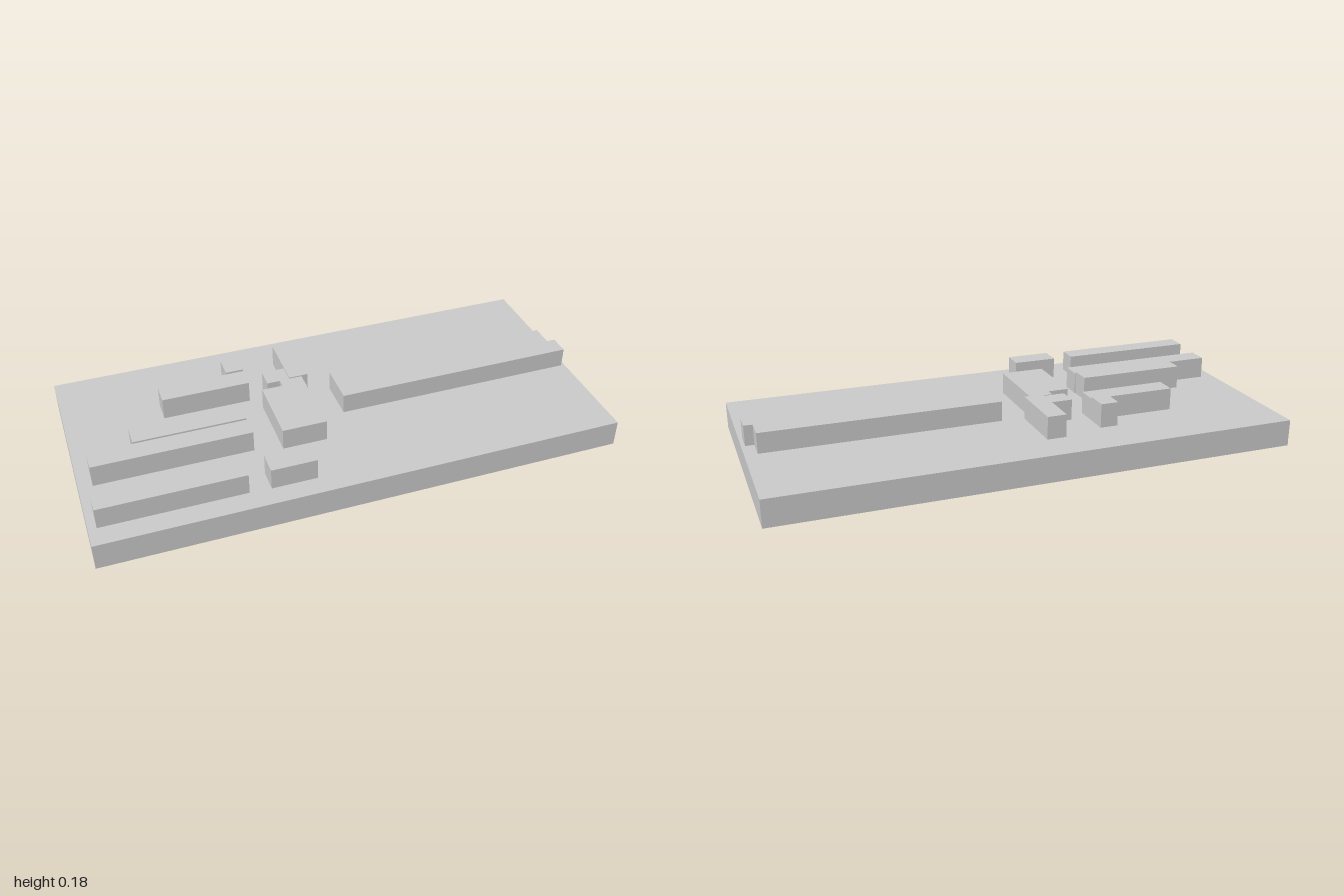
import * as THREE from 'three';

export function createModel() {
  const model = new THREE.Group();
  model.name = 'sitePlan';
  const material = new THREE.MeshStandardMaterial({ color: 0xcccccc, flatShading: true });
  const BASE_TOP = 0.094;

  // Everything is laid out square, then the whole plan is turned
  const plan = new THREE.Group();
  plan.name = 'turnedPlan';
  plan.rotation.y = Math.atan2(0.955, 1.545);
  model.add(plan);

  const slab = new THREE.Mesh(new THREE.BoxGeometry(1.816, BASE_TOP, 0.864), material);
  slab.name = 'baseSlab';
  slab.position.y = BASE_TOP / 2;
  plan.add(slab);

  // Prism standing on the slab, from a footprint of [x, z] points
  function block(name, top, points) {
    const shape = new THREE.Shape(points.map(([x, z]) => new THREE.Vector2(x, -z)));
    const geometry = new THREE.ExtrudeGeometry(shape, { depth: top - BASE_TOP, bevelEnabled: false });
    geometry.rotateX(-Math.PI / 2);
    const mesh = new THREE.Mesh(geometry, material);
    mesh.name = name;
    mesh.position.y = BASE_TOP;
    plan.add(mesh);
  }
  const rect = (x0, x1, z0, z1) => [[x0, z0], [x0, z1], [x1, z1], [x1, z0]];

  // Long hall with a stepped end
  block('longHall', 0.165, [
    [0.031, -0.088], [0.031, 0.062], [0.895, 0.062], [0.895, -0.008], [0.865, -0.008], [0.865, -0.088],
  ]);

  // Central building with a notched corner
  block('centralBuilding', 0.17, [
    [-0.228, -0.06], [-0.228, 0.183], [-0.073, 0.183], [-0.073, -0.092], [-0.154, -0.092], [-0.154, -0.06],
  ]);

  // Simple rectangular blocks: name, top height, footprint
  [
    ['rearWing', 0.174, -0.118, -0.05, -0.301, -0.092],
    ['linkBlock', 0.168, -0.199, -0.118, -0.161, -0.092],
    ['backRow', 0.172, -0.57, -0.261, -0.188, -0.112],
    ['backRowAnnex', 0.179, -0.324, -0.261, -0.266, -0.188],
    ['middleRowRear', 0.177, -0.71, -0.325, 0.01, 0.086],
    ['middleRowFront', 0.171, -0.861, -0.322, 0.086, 0.159],
    ['frontRow', 0.168, -0.88, -0.394, 0.285, 0.357],
    ['frontCube', 0.169, -0.322, -0.165, 0.284, 0.361],
  ].forEach(([name, top, x0, x1, z0, z1]) => block(name, top, rect(x0, x1, z0, z1)));

  return model;
}
